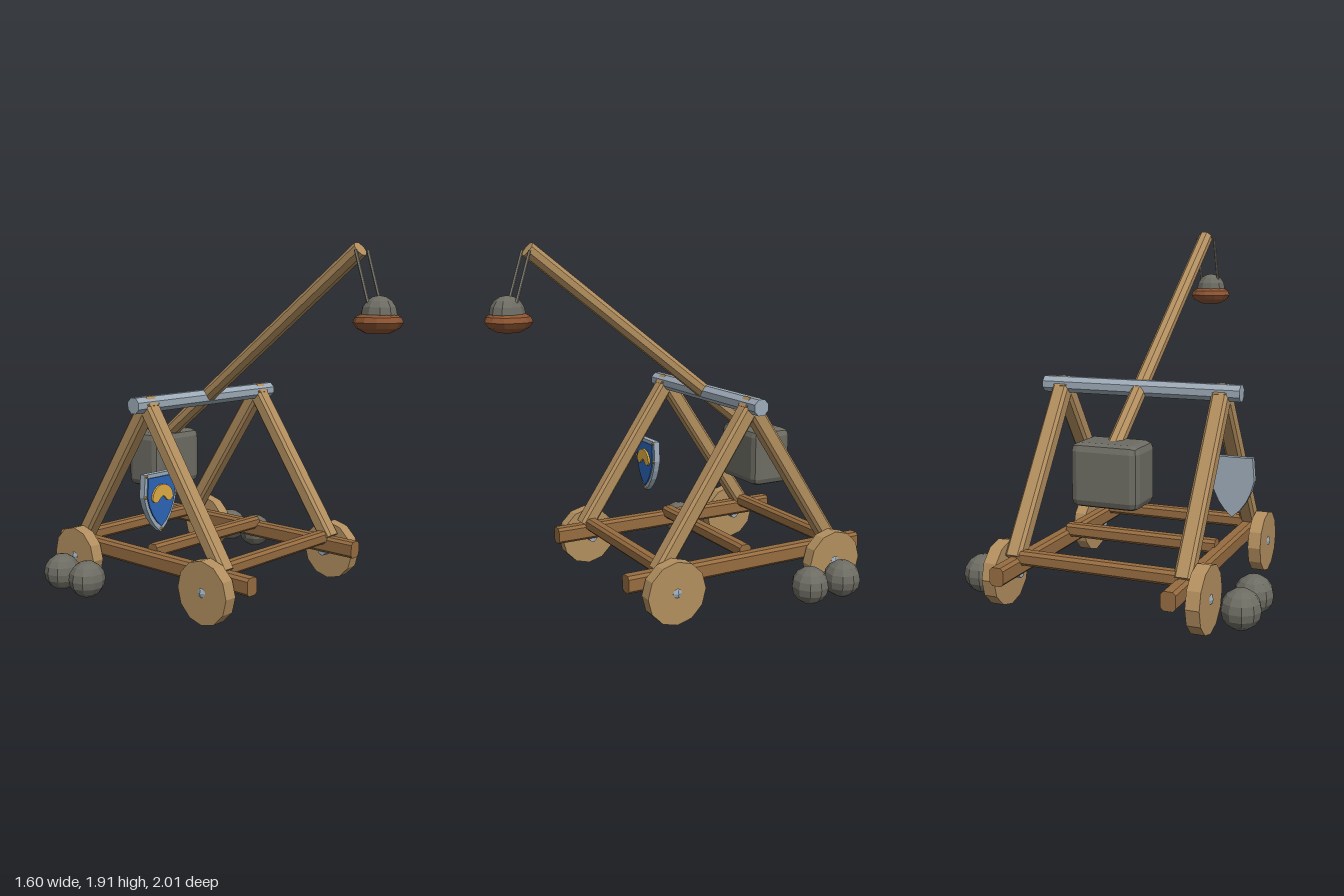
import * as THREE from 'three';
import { RoundedBoxGeometry } from 'three/addons/geometries/RoundedBoxGeometry.js';

const mat = (color, extra = {}) => {
  const m = new THREE.MeshStandardMaterial({ flatShading: true, ...extra });
  m.color.set(color);
  return m;
};

export function createModel() {
  const group = new THREE.Group();
  const wood = mat(0xb38f5f), darkWood = mat(0x966c40), iron = mat(0x9dabb8);
  const stone = mat(0x6d6c63), clay = mat(0x8c5432, { side: THREE.DoubleSide });
  const rope = mat(0x8b887c), blue = mat(0x2c66b8), gold = mat(0xe0ad45);
  const V = (x, y, z) => new THREE.Vector3(x, y, z);

  const add = (name, geometry, material, x = 0, y = 0, z = 0) => {
    const mesh = new THREE.Mesh(geometry, material);
    mesh.name = name;
    mesh.position.set(x, y, z);
    group.add(mesh);
    return mesh;
  };

  // Square timber with chamfered long edges, from a to b
  const beam = (name, a, b, w, h, material) => {
    const x = w / 2, y = h / 2, c = 0.015;
    const profile = new THREE.Shape([
      [x, c - y], [x, y - c], [x - c, y], [c - x, y],
      [-x, y - c], [-x, c - y], [c - x, -y], [x - c, -y],
    ].map(p => new THREE.Vector2(...p)));
    const geometry = new THREE.ExtrudeGeometry(profile, { depth: a.distanceTo(b), bevelEnabled: false });
    add(name, geometry, material, a.x, a.y, a.z).lookAt(b);
  };

  // Round pole from a to b
  const pole = (name, a, b, r, sides, material) => {
    const geometry = new THREE.CylinderGeometry(r, r, a.distanceTo(b), sides);
    geometry.rotateY(Math.PI / sides);
    const mesh = add(name, geometry, material);
    mesh.position.lerpVectors(a, b, 0.5);
    mesh.quaternion.setFromUnitVectors(V(0, 1, 0), b.clone().sub(a).normalize());
  };

  for (const s of [-1, 1]) {
    // Base rail and A-frame
    beam('sideRail', V(s * 0.445, 0.222, -1), V(s * 0.445, 0.222, 0.47), 0.075, 0.093, darkWood);
    beam('frontLeg', V(s * 0.45, 0.26, 0.287), V(s * 0.45, 1.095, -0.277), 0.09, 0.085, wood);
    beam('backLeg', V(s * 0.45, 0.26, -0.807), V(s * 0.45, 1.095, -0.243), 0.09, 0.085, wood);

    // Wheels with hubs
    for (const z of [0.24, -0.765]) {
      const wheel = new THREE.CylinderGeometry(0.168, 0.168, 0.07, 12).rotateZ(Math.PI / 2);
      add('wheel', wheel, wood, s * 0.535, 0.168, z);
      pole('wheelAxle', V(s * 0.44, 0.17, z), V(s * 0.52, 0.17, z), 0.025, 8, iron);
      add('hub', new THREE.SphereGeometry(0.036, 8, 6), iron, s * 0.546, 0.17, z);
    }

    // Spare boulders
    for (const z of [-0.495, -0.71])
      add('boulder', new THREE.SphereGeometry(0.1, 10, 8), stone, s * 0.7, 0.122, z);

    // Sling cords
    pole('slingCord', V(s * 0.053, 1.87, 0.782), V(s * 0.053, 1.55, 0.88), 0.008, 6, rope);
  }

  for (const z of [-0.8, -0.262, 0.262])
    beam('crossBeam', V(-0.43, 0.267, z), V(0.43, 0.267, z), 0.07, 0.072, darkWood);

  // Pivot, throwing arm and counterweight
  pole('pivotBar', V(-0.555, 1.074, -0.262), V(0.555, 1.074, -0.262), 0.046, 8, iron);
  pole('throwingArm', V(0, 1.875, 0.775), V(0, 0.815, -0.598), 0.042, 8, wood);
  add('counterweight', new RoundedBoxGeometry(0.362, 0.322, 0.247, 1, 0.04), stone, 0, 0.693, -0.61);

  // Sling dish with its shot
  const dish = [[0, 0], [0.06, 0], [0.105, 0.025], [0.123, 0.052], [0.112, 0.078], [0.085, 0.092], [0.06, 0.06], [0, 0.05]]
    .map(p => new THREE.Vector2(...p));
  add('slingDish', new THREE.LatheGeometry(dish, 12), clay, 0, 1.47, 0.883);
  add('shot', new THREE.SphereGeometry(0.09, 10, 8), stone, 0, 1.562, 0.888);

  // Shield: iron plate, blue field, arched ornament and rivets
  const shieldShape = k => {
    const s = new THREE.Shape();
    s.moveTo(-0.108 * k, 0.125 * k);
    s.lineTo(0.108 * k, 0.125 * k);
    s.lineTo(0.118 * k, 0.005);
    s.quadraticCurveTo(0.09 * k, -0.13 * k, 0, -0.195 * k);
    s.quadraticCurveTo(-0.09 * k, -0.13 * k, -0.118 * k, 0.005);
    return s;
  };
  const slab = (shape, depth) =>
    new THREE.ExtrudeGeometry(shape, { depth, bevelEnabled: false, curveSegments: 4 });
  const sx = -0.483, sy = 0.6;
  add('shieldPlate', slab(shieldShape(1), 0.036), iron, sx, sy, -0.174);
  add('shieldField', slab(shieldShape(0.84), 0.012), blue, sx, sy, -0.142);

  const arch = new THREE.Shape();
  arch.absarc(0, 0, 0.075, 0, Math.PI, false);
  arch.quadraticCurveTo(-0.045, -0.04, -0.02, 0);
  arch.quadraticCurveTo(0, 0.025, 0.02, 0);
  arch.quadraticCurveTo(0.045, -0.04, 0.075, 0);
  add('shieldOrnament', slab(arch, 0.014), gold, sx, sy - 0.01, -0.132);
  for (const [x, y] of [[-0.1, 0.117], [0.1, 0.117], [-0.109, 0.005], [0.109, 0.005], [0, -0.178]])
    add('rivet', new THREE.SphereGeometry(0.009, 6, 4), gold, sx + x, sy + y, -0.136);

  return group;
}
